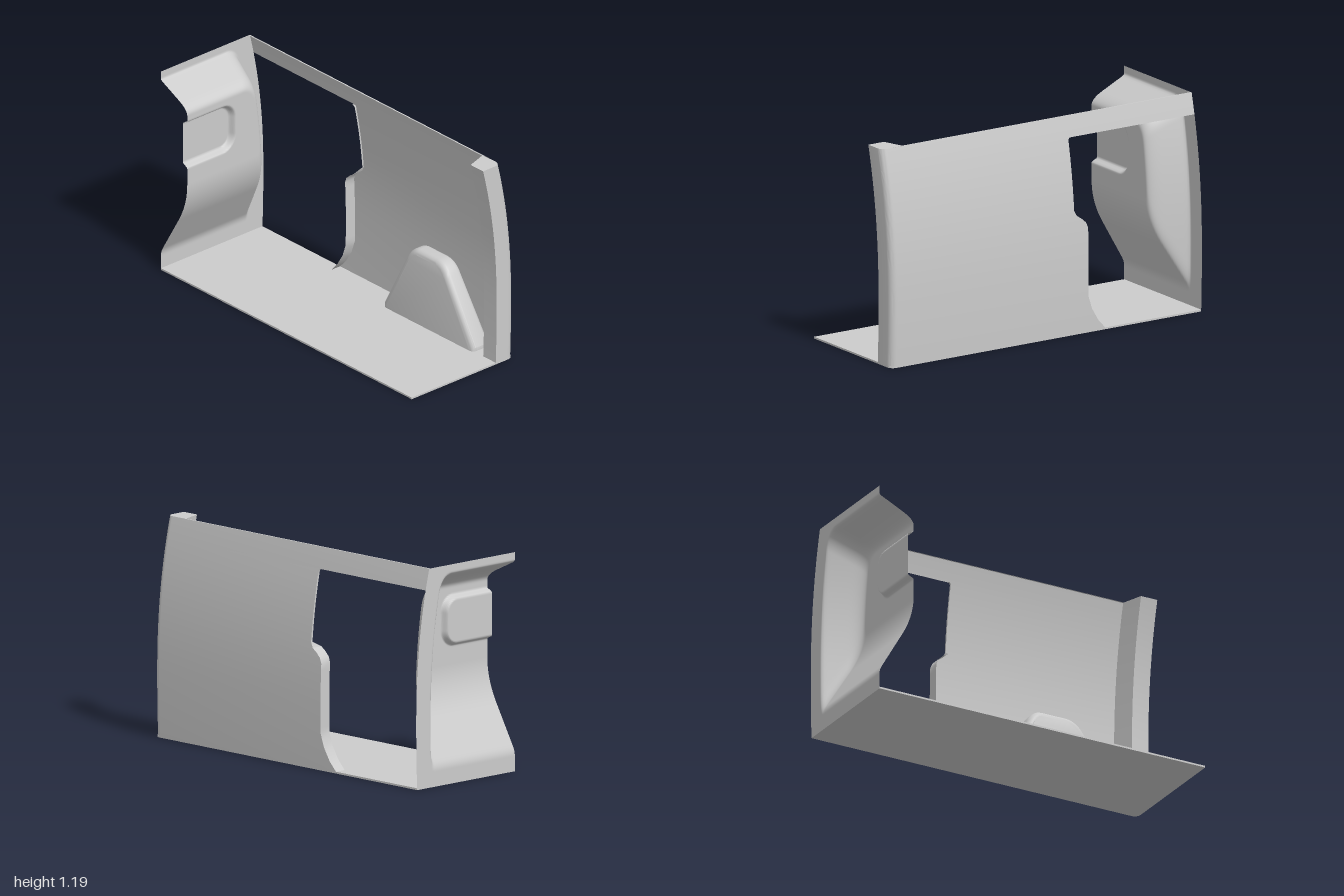
import * as THREE from 'three';
import { toCreasedNormals } from 'three/addons/utils/BufferGeometryUtils.js';

const H = 1.19, INNER = -0.37, BACK = -1;
const mat = new THREE.MeshStandardMaterial({ color: 0xcccccc, side: THREE.DoubleSide });

// Outer x of the barrelled side wall at height y
const outer = (y) => y > 0.35
  ? 0.362 - 0.142 * Math.pow(y - 0.35, 2.2)
  : 0.362 - 0.007 * (1 - y / 0.35) ** 2;

// Sheet through rows of equally many points
function loft(rows) {
  const n = rows[0].length, index = [];
  for (let i = 0; i < rows.length - 1; i++) {
    for (let j = 0; j < n - 1; j++) {
      const a = i * n + j, b = a + 1, c = a + n, d = c + 1;
      index.push(a, b, d, a, d, c);
    }
  }
  const g = new THREE.BufferGeometry();
  g.setAttribute('position', new THREE.Float32BufferAttribute(rows.flat(2), 3));
  g.setIndex(index);
  g.computeVertexNormals();
  return g;
}

// Smooth minimum with blend width k
function smin(a, b, k) {
  const h = Math.max(k - Math.abs(a - b), 0) / k;
  return Math.min(a, b) - h * h * k * 0.25;
}

// Rear edge of the wall as [y, z], following the door opening
const doorEdge = [
  [0, -0.39], [0.06, -0.335], [0.13, -0.293], [0.2, -0.27], [0.58, -0.27],
  [0.61, -0.258], [0.635, -0.23], [0.655, -0.2], [0.685, -0.185],
  [1.062, -0.185], [1.072, -0.19], [1.075, -0.2], [1.0752, BACK], [H, BACK],
];

function edgeRows() {
  const rows = [doorEdge[0]];
  for (let i = 1; i < doorEdge.length; i++) {
    const [y0, z0] = doorEdge[i - 1], [y1, z1] = doorEdge[i];
    const steps = Math.ceil((y1 - y0) / 0.04);
    for (let s = 1; s <= steps; s++) {
      const t = s / steps;
      rows.push([y0 + (y1 - y0) * t, z0 + (z1 - z0) * t]);
    }
  }
  return rows;
}

// Front pillar section as [inset from the outer skin, z]
const pillar = [];
for (let i = 0; i <= 8; i++) {
  const a = (i / 8) * Math.PI / 2;
  pillar.push([0.04 * (1 - Math.cos(a)), 0.96 + 0.04 * Math.sin(a)]);
}
pillar.push([0.125, 1], [0.125, 0.9], [0.004, 0.86]);

// Depth of the pressed bulkhead at (x, y)
function bulkheadDepth(x, y) {
  const side = (outer(y) - 0.11 - x) * 2.9;
  const top = (1.14 - y) * 2.1;
  const bottom = (y - 0.11) * 0.58;
  let d = smin(smin(side, top, 0.22), bottom, 0.06);
  d = smin(d, 0.21, 0.07);
  d = -smin(-d, 0, 0.015);
  // rounded recess pressed back out of the raised face
  const qx = x + 0.025 + 0.09, qy = Math.abs(y - 0.83) - 0.14 + 0.09;
  const sd = Math.hypot(Math.max(qx, 0), Math.max(qy, 0)) + Math.min(Math.max(qx, qy), 0) - 0.09;
  return d - 0.035 * THREE.MathUtils.smoothstep(-sd, 0, 0.022);
}

export function createModel() {
  const model = new THREE.Group();
  const add = (name, geometry) => {
    const mesh = new THREE.Mesh(geometry, mat);
    mesh.name = name;
    model.add(mesh);
    return mesh;
  };

  // Floor plate with a rounded outer front corner
  const plan = new THREE.Shape();
  plan.moveTo(INNER, 1).lineTo(INNER, -1).lineTo(0.355, -1).lineTo(0.355, 0.96);
  plan.quadraticCurveTo(0.355, 1, 0.315, 1);
  const floor = new THREE.ExtrudeGeometry(plan, { depth: 0.01, bevelEnabled: false });
  floor.rotateX(Math.PI / 2).translate(0, 0.01, 0);
  add('floor', floor);

  // Side wall skin, folded round into the front pillar
  const rows = edgeRows();
  const wall = loft(rows.map(([y, z]) =>
    [[0, z], ...pillar].map(([inset, pz]) => [outer(y) - inset, y, pz])));
  add('sideWall', toCreasedNormals(wall, 0.6));

  // Pillar end cap
  const capShape = new THREE.Shape(pillar.map(([inset, z]) => new THREE.Vector2(outer(H) - inset, -z)));
  add('pillarCap', new THREE.ShapeGeometry(capShape).rotateX(-Math.PI / 2).translate(0, H, 0));

  // Door jamb: deep beside the sill, thin higher up
  const jamb = rows.filter(([y]) => y < 1.0751).map(([y, z]) => {
    const depth = y < 0.66 ? 0.065 : 0.01;
    return [[outer(y), y, z], [outer(y) - depth, y, z]];
  });
  add('doorJamb', toCreasedNormals(loft(jamb), 0.5));

  // Header lip over the door and along the wall top
  const lip = (y) => loft([BACK, 0.87].map((z) => [[outer(y), y, z], [outer(y) - 0.008, y, z]]));
  add('topLip', lip(H));

  // Pressed bulkhead closing the back
  const NX = 120, NY = 170, grid = [];
  for (let i = 0; i <= NY; i++) {
    const y = (i / NY) * H, row = [];
    for (let j = 0; j <= NX; j++) {
      const x = INNER + (outer(y) - INNER) * (j / NX);
      row.push([x, y, BACK + bulkheadDepth(x, y)]);
    }
    grid.push(row);
  }
  add('bulkhead', loft(grid));

  // Wheel arch: bevelled block leaning back against the wall
  const arch = new THREE.Shape();
  arch.moveTo(0.11, -0.05).lineTo(0.11, 0.03).lineTo(0.27, 0.36);
  arch.quadraticCurveTo(0.305, 0.43, 0.36, 0.43).lineTo(0.5, 0.43);
  arch.quadraticCurveTo(0.57, 0.43, 0.61, 0.36).lineTo(0.83, 0.03).lineTo(0.83, -0.05);
  const block = new THREE.ExtrudeGeometry(arch, {
    depth: 0.065, bevelThickness: 0.03, bevelSize: 0.03, bevelOffset: -0.03,
    bevelSegments: 5, curveSegments: 8,
  });
  block.rotateY(-Math.PI / 2).translate(0.313, 0, 0);
  const p = block.attributes.position;
  for (let i = 0; i < p.count; i++) {
    const y = Math.max(p.getY(i), 0.005);
    const lean = p.getX(i) < 0.27 ? Math.max(0, y - 0.2) * 0.12 : 0;
    p.setXYZ(i, p.getX(i) + lean, y, p.getZ(i));
  }
  add('wheelArch', toCreasedNormals(block, 0.6));

  return model;
}
